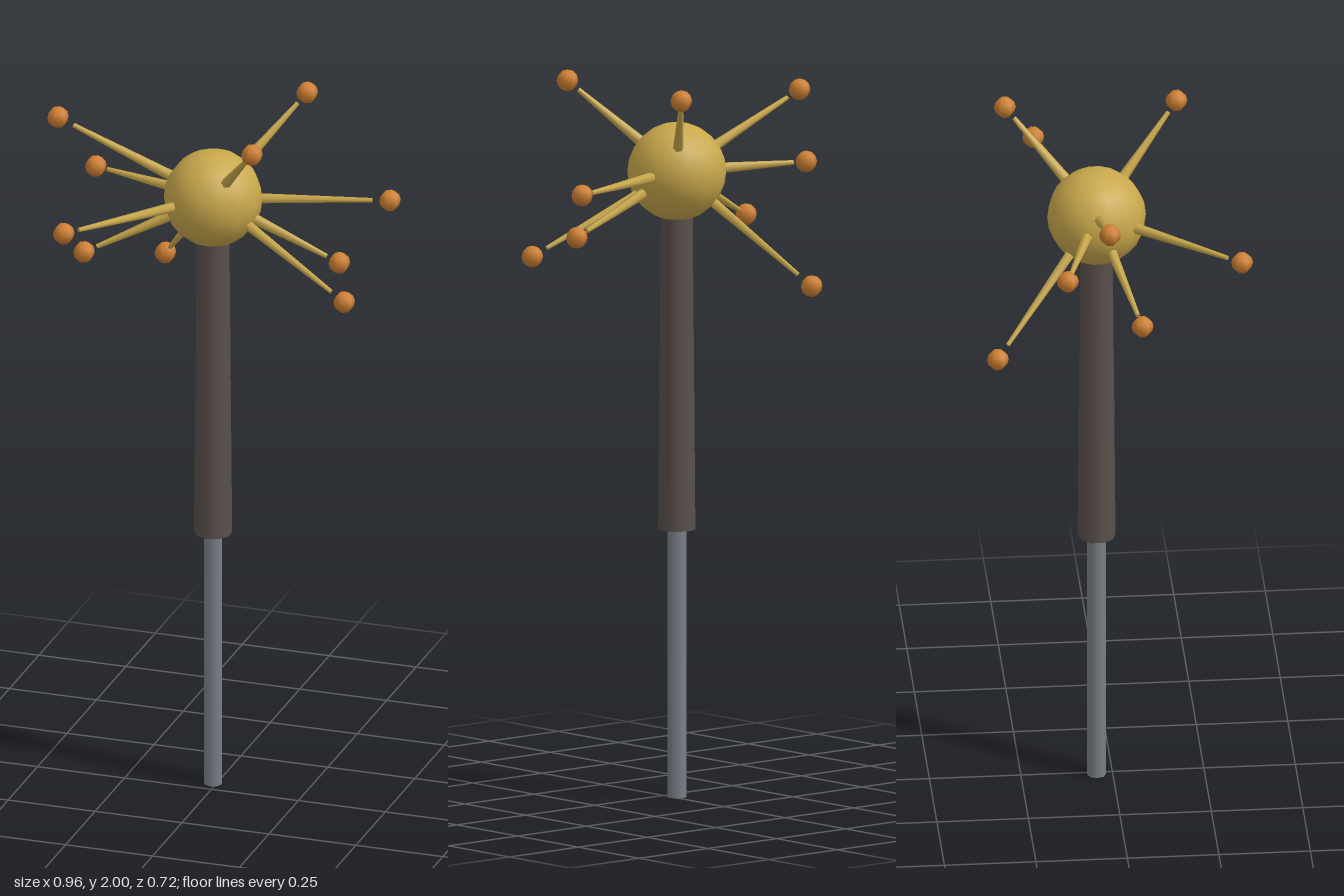
import * as THREE from 'three';

const material = (name, color) => {
  const m = new THREE.MeshStandardMaterial({ color });
  m.name = name;
  return m;
};

export function createModel() {
  const model = new THREE.Group();
  model.name = 'spikedMace';
  const gold = material('gold', 0xc9a84c);
  const bronze = material('bronze', 0xcd7f32);
  const grip = material('darkGrip', 0x5a504c);
  const steel = material('steel', 0x7a7f87);

  const add = (name, geometry, mat, position) => {
    const mesh = new THREE.Mesh(geometry, mat);
    mesh.name = name;
    mesh.position.copy(position);
    model.add(mesh);
    return mesh;
  };

  // The whole staff stands on one slightly offset axis
  const axis = y => new THREE.Vector3(-0.01, y, -0.044);
  const centre = axis(1.727);

  // Staff: thin shaft, then a tapered grip that runs into the head
  add('shaft', new THREE.CylinderGeometry(0.026, 0.026, 0.76, 8), steel, axis(0.38));
  add('handle', new THREE.CylinderGeometry(0.044, 0.052, 0.92, 10), grip, axis(1.2));

  // Round head
  add('head', new THREE.SphereGeometry(0.135, 14, 12).rotateY(Math.PI / 2), gold, centre);

  // Ball centres; each spike points at its ball and stops short of it
  const tips = [
    [-0.245, 1.42, -0.333], [-0.384, 1.727, -0.153], [-0.456, 1.905, -0.044],
    [-0.348, 1.56, 0.054], [-0.313, 1.727, 0.329], [0.181, 1.97, -0.279],
    [0.453, 1.727, -0.179], [0.353, 1.583, -0.044], [0.408, 1.522, 0.077],
    [0.181, 1.97, 0.19],
  ];
  const ball = new THREE.SphereGeometry(0.03, 6, 6).rotateY(Math.PI / 2);
  const up = new THREE.Vector3(0, 1, 0);
  tips.forEach((p, i) => {
    const tip = new THREE.Vector3(...p);
    const direction = tip.clone().sub(centre);
    const reach = direction.length();
    direction.normalize();
    const start = 0.128, end = reach * 0.9;
    const spike = add(`spike${i + 1}`,
      new THREE.CylinderGeometry(0.0065, 0.015, end - start, 6), gold,
      centre.clone().addScaledVector(direction, (start + end) / 2));
    spike.quaternion.setFromUnitVectors(up, direction);
    add(`ball${i + 1}`, ball, bronze, tip);
  });
  return model;
}
